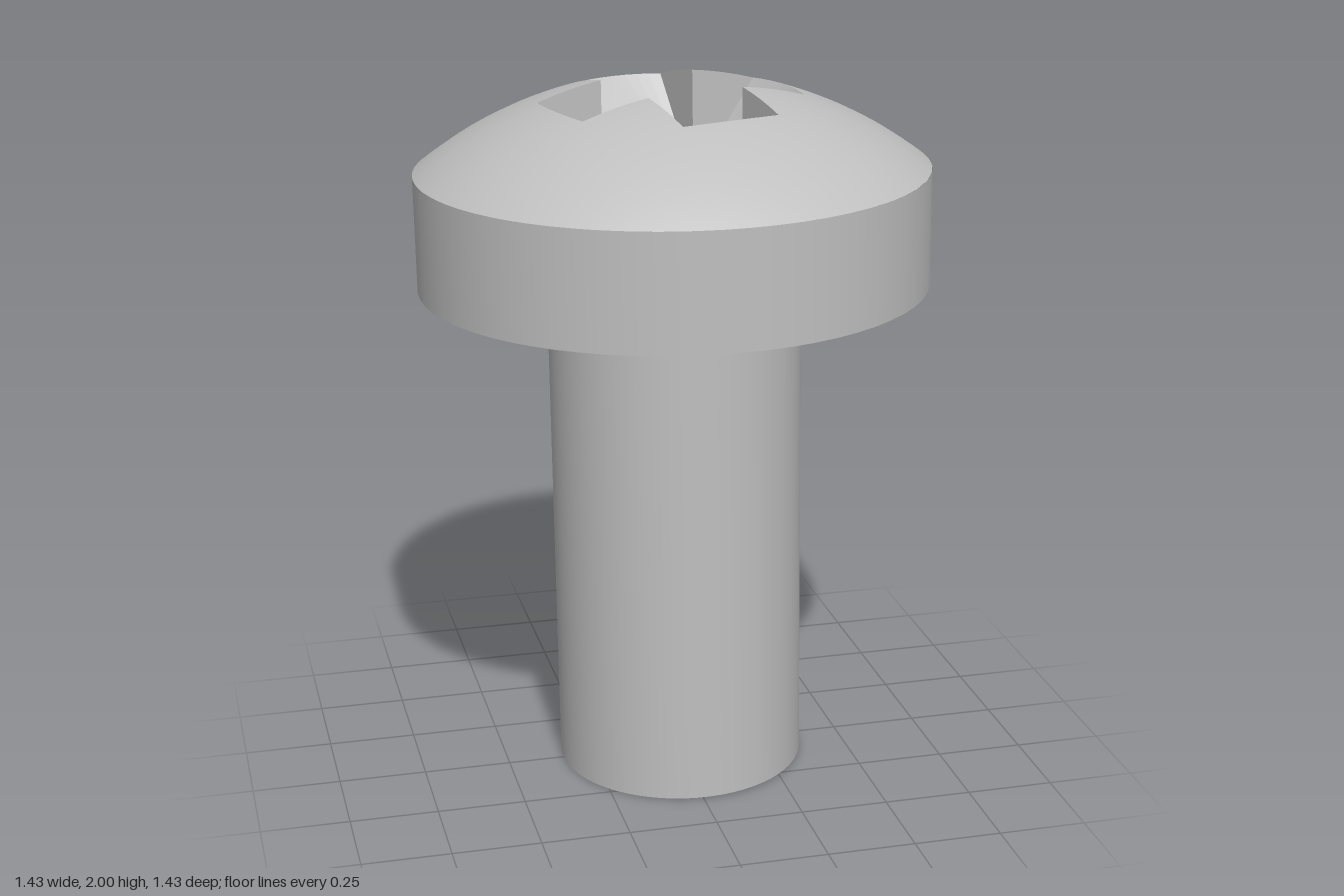
import * as THREE from 'three';

const SEGMENTS = 64;
const SHANK_R = 0.356, HEAD_R = 0.715;
const HEAD_BOTTOM = 1.44, RIM = 1.764, APEX = 2.012;
// Dome sphere through the rim and the apex
const RISE = APEX - RIM;
const DOME_R = (HEAD_R * HEAD_R + RISE * RISE) / (2 * RISE);
const DOME_Y = APEX - DOME_R;
// Cross recess
const W = 0.143, ARM = 0.338, BULGE = 0.016;
const FLOOR = 1.68, PIT = 1.52;

const onDome = (x, z) =>
  new THREE.Vector3(x, DOME_Y + Math.sqrt(DOME_R * DOME_R - x * x - z * z), z);

// Turn a point by quarter turns around the axis: +x towards +z
function turn(p, k) {
  const q = p.clone();
  for (let i = 0; i < k; i++) q.set(-q.z, q.y, q.x);
  return q;
}

// Mouth of one arm pointing along +x: side, slightly bowed end, side
function armMouth() {
  const sideA = [], end = [], sideB = [];
  for (let i = 0; i <= 4; i++) {
    const x = W + (ARM - W) * i / 4;
    sideA.push(onDome(x, -W));
    sideB.unshift(onDome(x, W));
  }
  for (let i = 0; i <= 8; i++) {
    const t = i / 4 - 1;
    end.push(onDome(ARM + BULGE * (1 - t * t), t * W));
  }
  return { sideA, end, sideB };
}

// Spherical cap with the cross-shaped opening left out
function domeGeometry() {
  const { sideA, end, sideB } = armMouth();
  const arm = [...sideA, ...end.slice(1, -1), ...sideB.slice(0, -1)];
  const outline = [];
  for (let k = 0; k < 4; k++) arm.forEach(p => outline.push(turn(p, k)));
  const rings = 12, n = outline.length;
  const pos = [], nor = [], index = [];
  for (let j = 0; j <= rings; j++) {
    for (const p of outline) {
      const r0 = Math.hypot(p.x, p.z);
      const s = (r0 + (HEAD_R - r0) * j / rings) / r0;
      const v = onDome(p.x * s, p.z * s);
      pos.push(v.x, v.y, v.z);
      nor.push(v.x / DOME_R, (v.y - DOME_Y) / DOME_R, v.z / DOME_R);
    }
  }
  for (let j = 0; j < rings; j++) {
    for (let i = 0; i < n; i++) {
      const a = j * n + i, b = j * n + (i + 1) % n, c = a + n, d = b + n;
      index.push(a, b, c, b, d, c);
    }
  }
  const g = new THREE.BufferGeometry();
  g.setAttribute('position', new THREE.Float32BufferAttribute(pos, 3));
  g.setAttribute('normal', new THREE.Float32BufferAttribute(nor, 3));
  g.setIndex(index);
  return g;
}

// Sloping arm floors, upright side walls and the faceted pit in the middle
function recessGeometry() {
  const pos = [];
  const { sideA, end, sideB } = armMouth();
  const lowA = new THREE.Vector3(W, FLOOR, -W);
  const lowB = new THREE.Vector3(W, FLOOR, W);
  const mid = new THREE.Vector3(W, PIT, 0);
  const centre = new THREE.Vector3(0, PIT, 0);
  for (let k = 0; k < 4; k++) {
    const tri = (...pts) => pts.forEach(p => pos.push(...turn(p, k).toArray()));
    for (let i = 0; i < 4; i++) {
      tri(lowA, sideA[i], sideA[i + 1]);
      tri(lowB, sideB[i], sideB[i + 1]);
    }
    for (let i = 0; i < 8; i++) tri(i < 4 ? lowA : lowB, end[i], end[i + 1]);
    tri(lowA, end[4], lowB);
    tri(lowA, lowB, mid);
    tri(lowA, mid, centre);
    tri(mid, lowB, centre);
  }
  const g = new THREE.BufferGeometry();
  g.setAttribute('position', new THREE.Float32BufferAttribute(pos, 3));
  g.computeVertexNormals();
  return g;
}

export function createModel() {
  const steel = new THREE.MeshStandardMaterial({ color: 0xbfbfbf, side: THREE.DoubleSide });
  steel.name = 'steel';

  const screw = new THREE.Group();
  screw.name = 'screw';
  const add = (name, geometry, y = 0) => {
    const mesh = new THREE.Mesh(geometry, steel);
    mesh.name = name;
    mesh.position.y = y;
    screw.add(mesh);
    return mesh;
  };

  // Shank
  add('shank', new THREE.CylinderGeometry(SHANK_R, SHANK_R, HEAD_BOTTOM, SEGMENTS), HEAD_BOTTOM / 2);

  // Head
  add('headSide',
    new THREE.CylinderGeometry(HEAD_R, HEAD_R, RIM - HEAD_BOTTOM, SEGMENTS, 1, true),
    (RIM + HEAD_BOTTOM) / 2);
  add('headUnderside',
    new THREE.RingGeometry(SHANK_R, HEAD_R, SEGMENTS).rotateX(Math.PI / 2), HEAD_BOTTOM);

  // Dome and drive recess share the same twist
  const twist = THREE.MathUtils.degToRad(14);
  add('headDome', domeGeometry()).rotation.y = twist;
  add('crossRecess', recessGeometry()).rotation.y = twist;

  // The whole screw leans very slightly
  screw.rotation.z = 0.014;
  screw.position.set(0.018, 0.005, 0);

  const model = new THREE.Group();
  model.name = 'machineScrew';
  model.add(screw);
  return model;
}
